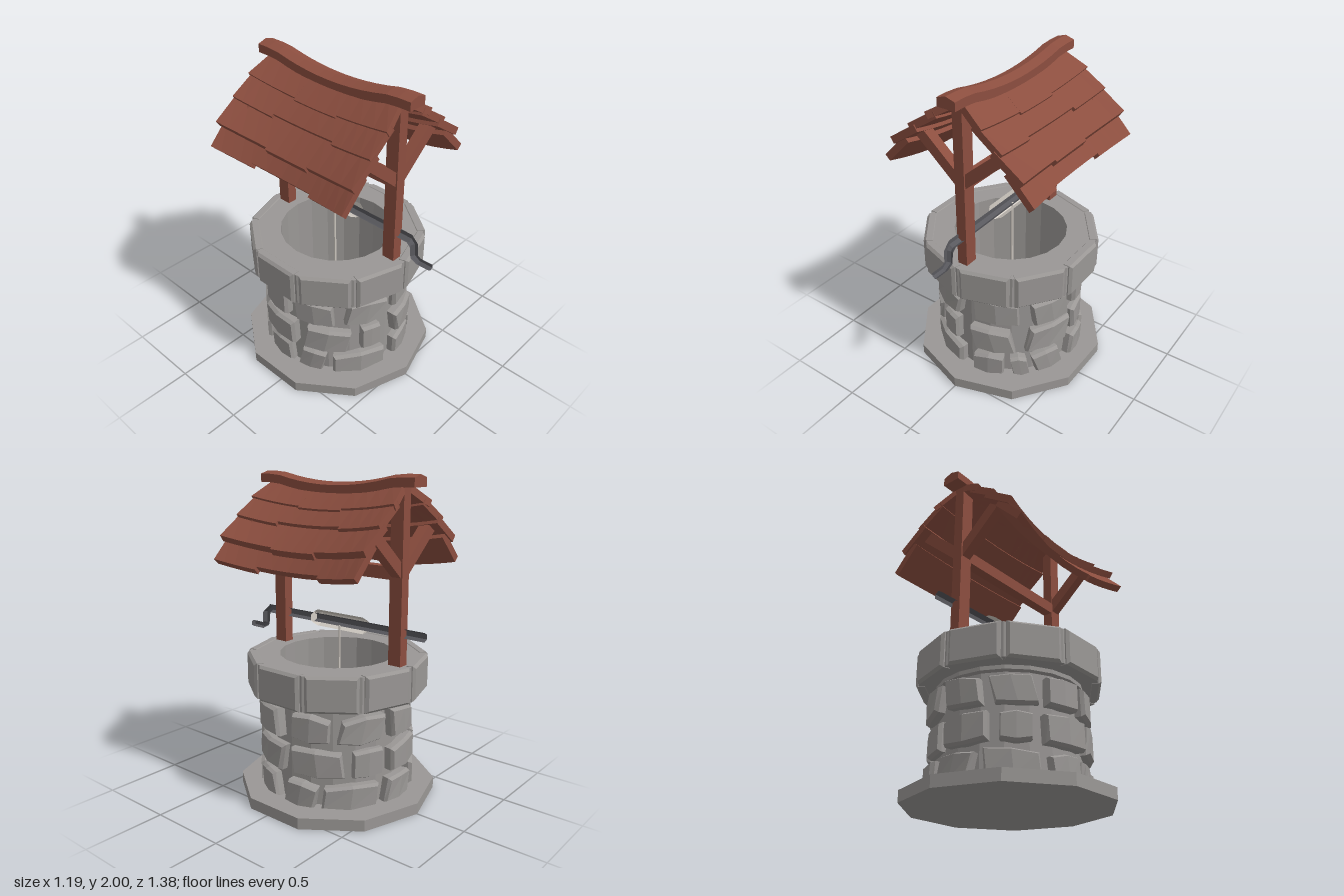
import * as THREE from 'three';

const stone = new THREE.MeshStandardMaterial({ color: 0x9a9795 });
stone.name = 'stone grey';
const wood = new THREE.MeshStandardMaterial({ color: 0x8c4e3f });
wood.name = 'red brown wood';
const iron = new THREE.MeshStandardMaterial({ color: 0x58585d });
iron.name = 'dark iron';
const pale = new THREE.MeshStandardMaterial({ color: 0xd2ccc4 });
pale.name = 'pale rope';

const CENTRE_Z = -0.055;
const DEG = Math.PI / 180;
const { lerp } = THREE.MathUtils;

let seed = 7;
const rand = (a, b) => {
  seed = (seed * 16807) % 2147483647;
  return a + (b - a) * (seed / 2147483647);
};

// Faceted mesh from any geometry
function part(parent, name, geo, mat, x = 0, y = 0, z = 0) {
  const g = geo.index ? geo.toNonIndexed() : geo;
  g.computeVertexNormals();
  const mesh = new THREE.Mesh(g, mat);
  mesh.name = name;
  mesh.position.set(x, y, z);
  parent.add(mesh);
  return mesh;
}

// Move every vertex by a rule (x, y, z) => [x, y, z]
function warp(geo, rule) {
  const p = geo.attributes.position;
  for (let i = 0; i < p.count; i++) p.setXYZ(i, ...rule(p.getX(i), p.getY(i), p.getZ(i)));
  return geo;
}

const sag = (z, half) => Math.max(0, 1 - (z / half) ** 2);

// Irregular chamfered stone wrapped on the wall between two angles
function wallStone(a0, a1, y0, y1) {
  const r = rand(0.465, 0.495), lean = rand(-2.5, 2.5), tilt = rand(-0.018, 0.018);
  const taper = rand(0, 0.02);
  return warp(new THREE.BoxGeometry(2, 2, 2, 2, 1, 2), (u, v, w) => {
    const inset = w > 0.5 ? 1 : 0;
    const a = lerp(a0, a1, (u * (1 - inset * 0.1) + 1) / 2) + lean * v;
    const y = lerp(y0, y1, (v * (1 - inset * 0.15) + 1) / 2) + tilt * u * (v > 0 ? 1 : 0.3) - taper * u * u * v;
    const rad = w < -0.5 ? 0.4 : inset ? r : r - 0.022;
    return [rad * Math.sin(a * DEG), y, rad * Math.cos(a * DEG)];
  });
}

function buildWall(well) {
  part(well, 'base', new THREE.CylinderGeometry(0.625, 0.625, 0.07, 10), stone, 0, 0.035, 0);

  // Hollow shaft: outer wall, collar, inner wall, floor
  const profile = [[0.43, 0.06], [0.425, 0.66], [0.445, 0.67], [0.445, 0.7], [0.36, 0.7], [0.36, 0.075], [0, 0.075]];
  part(well, 'shaft', new THREE.LatheGeometry(profile.map(p => new THREE.Vector2(...p)), 20), stone);

  // Courses of stones: bottom, top, then start and end angles
  const courses = [
    [0.06, 0.215, [[-78, -57], [-50, -6], [5, 30], [36, 49], [54, 78], [90, 114], [119, 160], [168, 195], [203, 240], [248, 274]]],
    [0.25, 0.425, [[-72, -37], [-27, -11], [5, 37], [49, 86], [94, 134], [141, 165], [172, 205], [213, 235], [243, 279]]],
    [0.465, 0.64, [[-80, -49], [-39, -7], [5, 42], [52, 82], [94, 124], [131, 164], [172, 200], [207, 238], [245, 272]]],
  ];
  const stones = new THREE.Group();
  stones.name = 'wallStones';
  well.add(stones);
  for (const [y0, y1, spans] of courses)
    for (const [a0, a1] of spans) part(stones, 'wallStone', wallStone(a0, a1, y0, y1), stone);

  // Ten-sided rim with a round opening
  const ring = new THREE.Shape();
  for (let i = 0; i < 10; i++) {
    const a = (90 + i * 36) * DEG;
    ring[i ? 'lineTo' : 'moveTo'](0.55 * Math.cos(a), 0.55 * Math.sin(a));
  }
  ring.closePath();
  ring.holes.push(new THREE.Path().absarc(0, 0, 0.36, 0, Math.PI * 2, true));
  const core = new THREE.ExtrudeGeometry(ring, { depth: 0.212, bevelEnabled: false, curveSegments: 10 });
  part(well, 'rim', core.rotateX(-Math.PI / 2), stone, 0, 0.694, 0);

  // Chamfered blocks on the rim faces
  const b = 0.016, w = 0.155 - b, h = 0.11 - b;
  const face = new THREE.Shape([[-w, -h], [w, -h], [w, h], [-w, h]].map(p => new THREE.Vector2(...p)));
  const block = new THREE.ExtrudeGeometry(face, { depth: 0.04, bevelThickness: b, bevelSize: b, bevelSegments: 1 });
  block.translate(0, 0.8, 0.49);
  for (let i = 0; i < 10; i++) part(well, 'rimBlock', block.clone(), stone).rotation.y = (18 + 36 * i) * DEG;
}

function buildFrame(well) {
  for (const s of [1, -1]) {
    part(well, 'post', new THREE.BoxGeometry(0.066, 1.06, 0.085), wood, 0, 1.42, s * 0.453);
    // Diagonal braces holding the roof
    for (const side of [1, -1]) {
      const brace = part(well, 'brace', new THREE.BoxGeometry(0.4, 0.07, 0.066), wood, side * 0.15, 1.575, s * 0.453);
      brace.rotation.z = side * 41 * DEG;
    }
  }
  part(well, 'crossBeam', new THREE.BoxGeometry(0.064, 0.075, 0.9), wood, 0, 1.4475, 0);
}

// Sagging plank; lower and upper are [x, y] of its top edge across the slope
function shinglePlank(lower, upper, z0, z1, endTaper) {
  const dx = lower[0] - upper[0], dy = lower[1] - upper[1], len = Math.hypot(dx, dy);
  const n = [-dy / len, dx / len];
  return warp(new THREE.BoxGeometry(1, 1, 1, 1, 1, 4), (u, v, w) => {
    const s = u + 0.5, t = (v - 0.5) * 0.045;
    const x = lerp(upper[0], lower[0], s) + n[0] * t;
    const y = lerp(upper[1], lower[1], s) + n[1] * t;
    const z = lerp(z0, z1, w + 0.5) * (1 - endTaper * (1 - s));
    const k = sag(z, 0.54);
    return [x - 0.062 * k * Math.max(0, x) / 0.52, y - 0.05 * k, z];
  });
}

function buildRoof(well) {
  // Lower edge, upper edge, half length, joint, slide of middle plank, taper
  const rows = [
    [[0.52, 1.497], [0.36, 1.66], 0.53, 0.235, -0.02, 0],
    [[0.455, 1.63], [0.27, 1.755], 0.54, 0.16, 0.015, 0],
    [[0.32, 1.748], [0.14, 1.868], 0.535, 0.235, -0.02, 0.02],
    [[0.19, 1.852], [0.02, 1.962], 0.535, 0.16, 0.015, 0.09],
  ];
  for (const side of [0, 1]) {
    const slope = new THREE.Group();
    slope.name = side ? 'roofSlopeRight' : 'roofSlopeLeft';
    slope.rotation.y = side * Math.PI;
    well.add(slope);
    for (const [lower, upper, half, joint, slide, taper] of rows) {
      const mid = lower.map((c, i) => c + (c - upper[i]) / 0.22 * slide);
      part(slope, 'shingle', shinglePlank(lower, upper, -half, -joint, taper), wood);
      part(slope, 'shingle', shinglePlank(mid, upper, -joint, joint, taper), wood);
      part(slope, 'shingle', shinglePlank(lower, upper, joint, half, taper), wood);
    }
  }
  // Ridge cap with a shallow peak
  const ridge = warp(new THREE.BoxGeometry(0.12, 0.07, 1.155, 2, 1, 14), (x, y, z) =>
    [x, y + 1.965 - 0.055 * sag(z, 0.44) - (Math.abs(x) > 0.05 && y > 0 ? 0.018 : 0), z]);
  part(well, 'ridgeCap', ridge, wood);
}

// Six-sided bent rod in the x = 0 plane through [z, y, radius] points
function bentRod(path) {
  const pos = [], index = [], last = path.length - 1;
  path.forEach(([z, y, r], i) => {
    const a = path[Math.max(0, i - 1)], c = path[Math.min(last, i + 1)];
    const l = Math.hypot(c[0] - a[0], c[1] - a[1]);
    const nz = (c[1] - a[1]) / l, ny = -(c[0] - a[0]) / l;
    for (let k = 0; k < 6; k++) {
      const t = (k * 60 + 30) * DEG, cx = r * Math.cos(t), cn = r * Math.sin(t);
      pos.push(cx, y + ny * cn, z + nz * cn);
      if (i < last) {
        const p = i * 6 + k, q = i * 6 + (k + 1) % 6;
        index.push(p, q, p + 6, q, q + 6, p + 6);
      }
    }
  });
  for (let k = 1; k < 5; k++) {
    const e = last * 6;
    index.push(0, k + 1, k, e, e + k, e + k + 1);
  }
  const g = new THREE.BufferGeometry();
  g.setAttribute('position', new THREE.Float32BufferAttribute(pos, 3));
  g.setIndex(index);
  return g;
}

function buildWinch(root) {
  part(root, 'crankAxle', bentRod([
    [0.69, 0.975, 0.021], [0.6, 0.973, 0.021], [0.568, 0.99, 0.024], [0.562, 1.065, 0.026], [0.525, 1.1, 0.028], [-0.69, 1.1, 0.028],
  ]), iron);
  part(root, 'drum', bentRod([
    [0.135, 1.1, 0.036], [0.105, 1.1, 0.052], [-0.25, 1.1, 0.052], [-0.28, 1.1, 0.036],
  ]), pale);
  part(root, 'rope', new THREE.CylinderGeometry(0.008, 0.008, 1.0, 6), pale, 0, 0.575, -0.072);
}

export function createModel() {
  const root = new THREE.Group();
  root.name = 'wishingWell';
  const well = new THREE.Group();
  well.name = 'well';
  well.position.z = CENTRE_Z;
  root.add(well);
  buildWall(well);
  buildFrame(well);
  buildRoof(well);
  buildWinch(root);
  return root;
}
